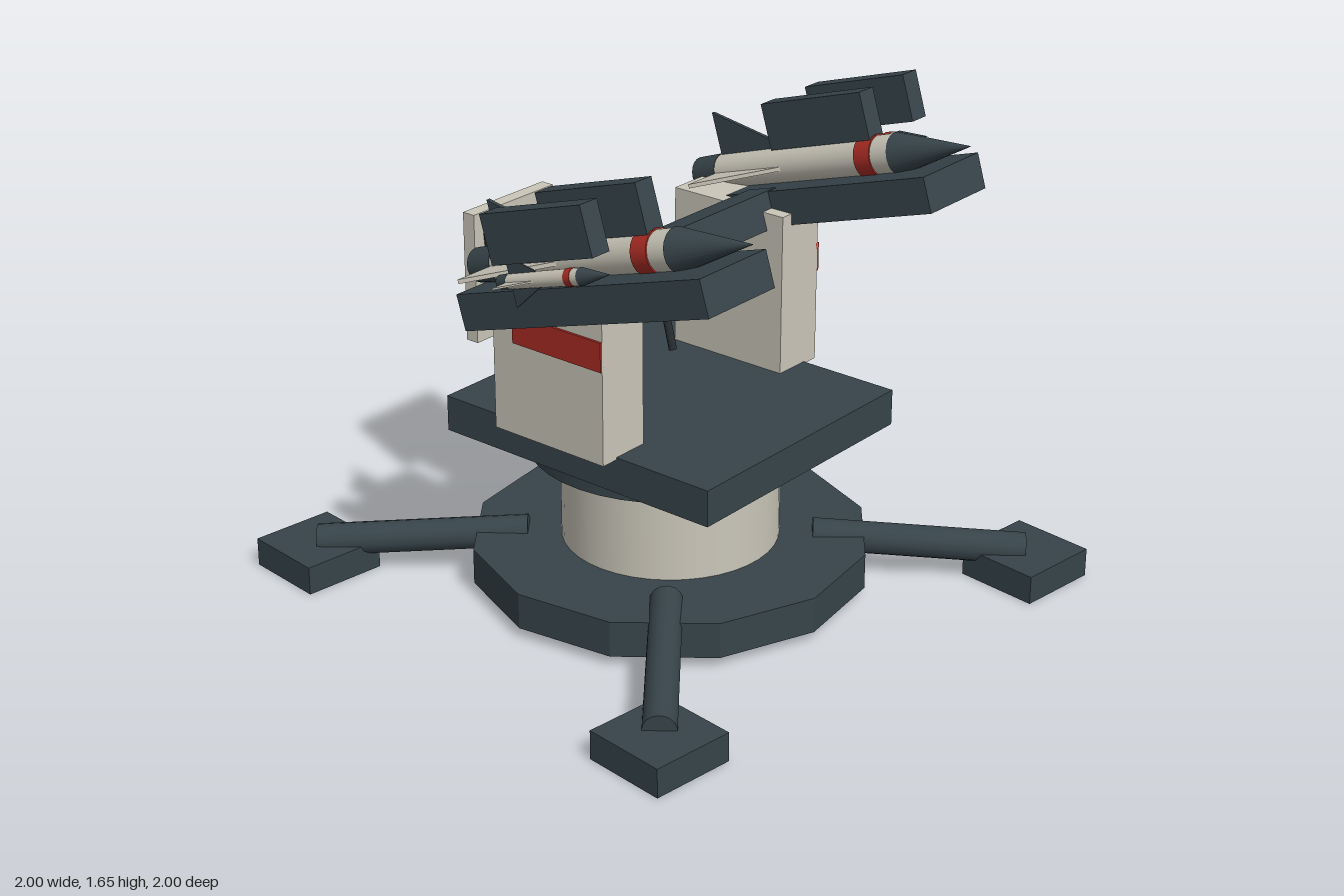
import * as THREE from 'three';

const material = (color, flat = false) => new THREE.MeshStandardMaterial({ color, flatShading: flat });
const dark = material(0x37444a);
const darkFlat = material(0x37444a, true);
const black = material(0x272d2f);
const beige = material(0xcac6b9);
const red = material(0xa92c24);

function add(parent, name, geometry, mat, x = 0, y = 0, z = 0) {
  const mesh = new THREE.Mesh(geometry, mat);
  mesh.name = name;
  mesh.position.set(x, y, z);
  parent.add(mesh);
  return mesh;
}

function group(parent, name, x = 0, y = 0, z = 0) {
  const g = new THREE.Group();
  g.name = name;
  g.position.set(x, y, z);
  parent.add(g);
  return g;
}

const box = (w, h, d) => new THREE.BoxGeometry(w, h, d);
const drum = (r, h, sides) => new THREE.CylinderGeometry(r, r, h, sides);

// Round section lying along z, from z0 (radius r0) to z1 (radius r1)
function section(z0, z1, r0, r1) {
  return new THREE.CylinderGeometry(r1, r0, z1 - z0, 20)
    .rotateX(Math.PI / 2).translate(0, 0, (z0 + z1) / 2);
}

function finGeometry() {
  const shape = new THREE.Shape([
    new THREE.Vector2(0.04, -0.235), new THREE.Vector2(0.207, -0.235), new THREE.Vector2(0.04, 0.1),
  ]);
  return new THREE.ExtrudeGeometry(shape, { depth: 0.014, bevelEnabled: false })
    .translate(0, 0, -0.007).rotateX(Math.PI / 2);
}

function addMissile(parent, name, x, y, z, scale) {
  const m = group(parent, name, x, y, z);
  m.scale.setScalar(scale);
  add(m, 'missileBody', section(-0.25, 0.51, 0.06, 0.068), beige);
  add(m, 'noseCone', section(0.51, 0.795, 0.071, 0.001), dark);
  add(m, 'redBand', section(0.375, 0.44, 0.071, 0.072), red);
  add(m, 'nozzle', section(-0.345, -0.24, 0.056, 0.062), dark);
  // Pale horizontal fins, dark vertical fins
  for (let i = 0; i < 4; i++) {
    add(m, 'fin', finGeometry(), i % 2 ? dark : beige).rotation.z = i * Math.PI / 2;
  }
}

export function createModel() {
  const model = new THREE.Group();
  model.name = 'missileLauncher';

  // Fixed base
  add(model, 'baseDisc', drum(0.678, 0.125, 12), darkFlat, 0, 0.0975, 0);
  add(model, 'column', drum(0.37, 0.36, 40), beige, 0, 0.33, 0);
  add(model, 'bearingRing', drum(0.48, 0.05, 40), dark, 0, 0.52, 0);

  // Outrigger legs and feet
  for (const sx of [-1, 1]) for (const sz of [-1, 1]) {
    add(model, 'foot', box(0.295, 0.1, 0.295), dark, sx * 0.8525, 0.05, sz * 0.8525);
    const inner = new THREE.Vector3(sx * 0.34, 0.147, sz * 0.34);
    const outer = new THREE.Vector3(sx * 0.85, 0.1, sz * 0.85);
    const dir = outer.clone().sub(inner);
    const leg = add(model, 'outriggerLeg', drum(0.055, dir.length(), 14), dark);
    leg.position.copy(inner).add(outer).multiplyScalar(0.5);
    leg.quaternion.setFromUnitVectors(new THREE.Vector3(0, 1, 0), dir.normalize());
  }

  // Turret, traversed slightly
  const turret = group(model, 'turret');
  turret.rotation.y = 0.12;
  add(turret, 'deck', box(0.98, 0.125, 1.11), dark, 0, 0.6025, 0);

  // Operator seat with armoured back plate
  add(turret, 'seat', box(0.32, 0.07, 0.32), black, 0, 0.745, -0.47);
  add(turret, 'seatBack', box(0.32, 0.36, 0.055), black, 0, 0.945, -0.64).rotation.x = -0.1;
  add(turret, 'backPlate', box(0.395, 0.465, 0.05), beige, 0, 0.953, -0.716);
  add(turret, 'backPlateStripe', box(0.27, 0.075, 0.016), red, 0, 0.983, -0.745);

  // Elevating frame, pitched nose up
  const frame = group(turret, 'elevatingFrame', 0, 1.207, 0.045);
  frame.rotation.x = -0.3;
  add(frame, 'crossBeam', box(0.9, 0.125, 0.12), dark);

  for (const s of [-1, 1]) {
    add(turret, 'pillar', box(0.195, 0.57, 0.46), beige, s * 0.455, 0.942, -0.045);
    add(turret, 'pillarStripe', box(0.016, 0.1, 0.37), red, s * 0.553, 1.03, 0);

    // Control lever leaning back to the seat
    const lever = group(turret, 'controlLever', s * 0.17, 0.73, -0.13);
    lever.rotation.x = -0.25;
    add(lever, 'leverRod', drum(0.014, 0.27, 10), black, 0, 0.135, 0);
    add(lever, 'leverGrip', box(0.036, 0.11, 0.04), black, 0, 0.295, 0);

    // Launch rail with large missile, small missile outboard, housings above
    add(frame, 'launchRail', box(0.31, 0.12, 1.02), dark, s * 0.56, 0, 0.195);
    addMissile(frame, 'largeMissile', s * 0.56, 0.113, 0, 1);
    addMissile(frame, 'smallMissile', s * 0.805, 0.113, 0.132, 0.4);
    for (const x of [0.56, 0.805]) {
      add(frame, 'housing', box(0.075, 0.16, 0.42), dark, s * x, 0.254, 0.223);
    }
  }

  return model;
}
